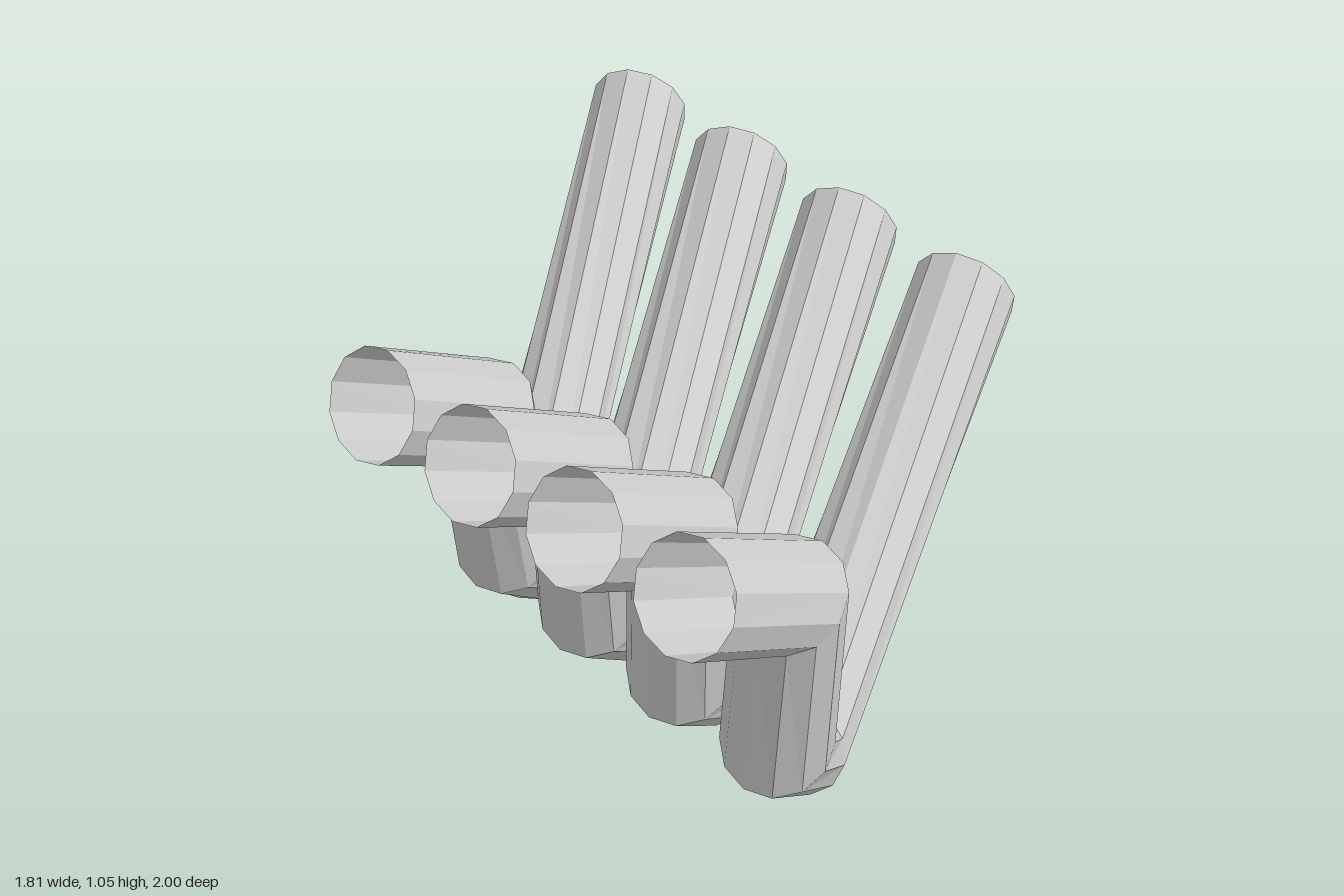
import * as THREE from 'three';

const SIDES = 12;
const RADIUS = 0.133;

// Open faceted tube through a list of rings, each { c: centre, n: facing direction }.
function ringTube(rings) {
  const positions = [];
  const indices = [];
  const zAxis = new THREE.Vector3(0, 0, 1);
  rings.forEach(({ c, n }, i) => {
    const centre = new THREE.Vector3(...c);
    const normal = new THREE.Vector3(...n).normalize();
    const v = zAxis.clone().addScaledVector(normal, -normal.z).normalize();
    const w = normal.clone().cross(v);
    for (let j = 0; j < SIDES; j++) {
      const a = (j / SIDES) * Math.PI * 2;
      const p = centre.clone()
        .addScaledVector(v, Math.cos(a) * RADIUS)
        .addScaledVector(w, Math.sin(a) * RADIUS);
      positions.push(p.x, p.y, p.z);
      if (i > 0) {
        const k = (j + 1) % SIDES;
        const lo = (i - 1) * SIDES;
        const hi = i * SIDES;
        indices.push(lo + j, lo + k, hi + j, lo + k, hi + k, hi + j);
      }
    }
  });
  const geometry = new THREE.BufferGeometry();
  geometry.setAttribute('position', new THREE.Float32BufferAttribute(positions, 3));
  geometry.setIndex(indices);
  geometry.computeVertexNormals();
  return geometry;
}

export function createModel() {
  const group = new THREE.Group();
  group.name = 'exhaustPipes';
  const material = new THREE.MeshStandardMaterial({
    color: 0xcccccc, flatShading: true, side: THREE.DoubleSide,
  });

  // Four pipes from front to back; the rear ones sweep further backwards.
  for (let i = 0; i < 4; i++) {
    const t = i / 3;
    const z = 0.85 - 0.94 * t;
    const pipe = new THREE.Mesh(ringTube([
      // upper inlet
      { c: [-0.845, 0.932, z], n: [0.9, -0.42, 0] },
      // upper elbow
      { c: [-0.53, 0.75, z + 0.015], n: [0.65, -0.76, -0.04] },
      // two-step lower elbow
      { c: [-0.5 + 0.07 * t, 0.275, z - 0.033], n: [0.56, -0.82, -0.2] },
      { c: [-0.375 + 0.055 * t, 0.137, z - 0.09], n: [0.95, -0.2, -0.27 - 0.15 * t] },
      // long outlet
      { c: [0.733 + 0.105 * t, 0.675, 0.352 - 1.232 * t], n: [0.9, 0.35, -0.28 - 0.17 * t] },
    ]), material);
    pipe.name = `pipe${i + 1}`;
    group.add(pipe);
  }
  return group;
}
